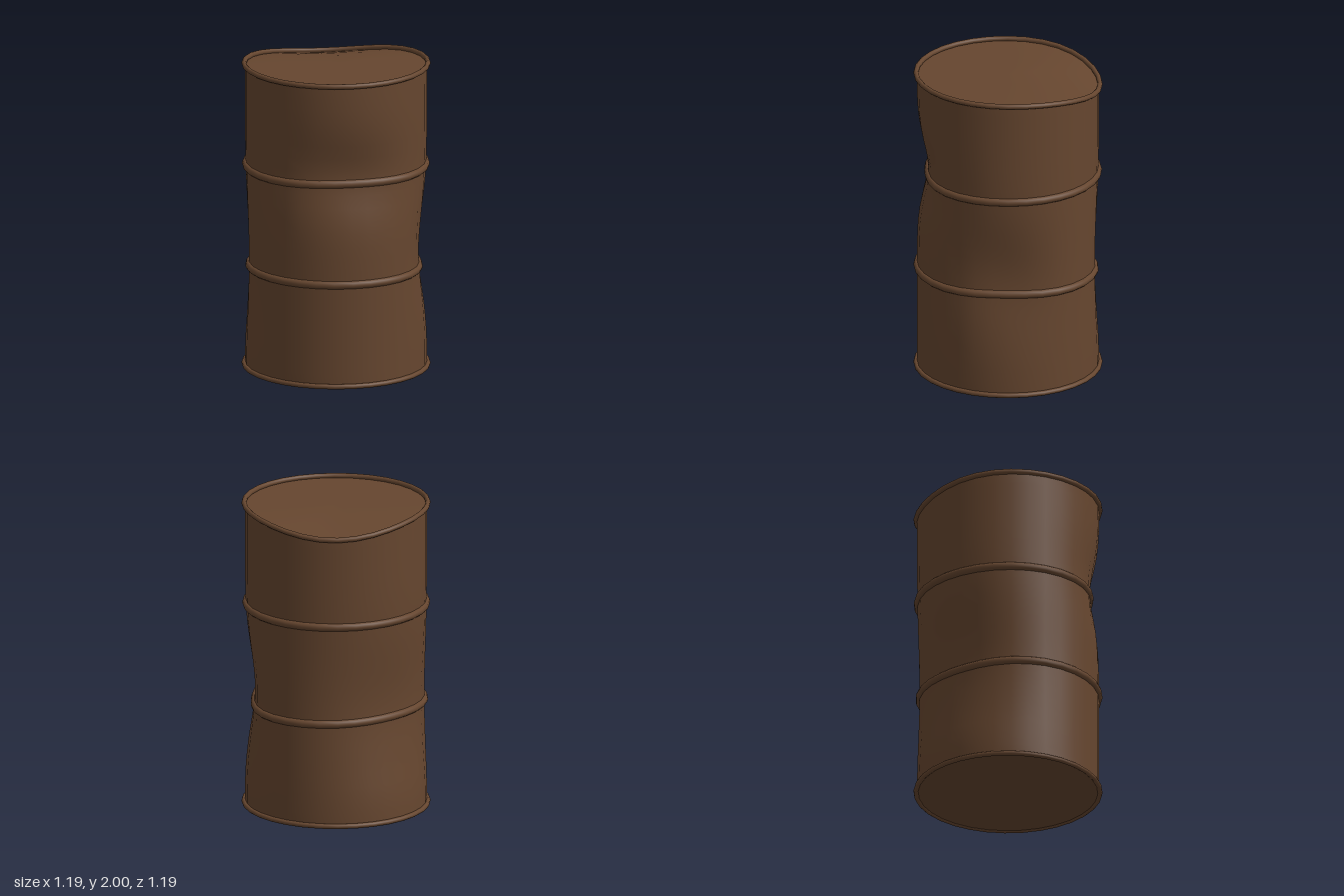
import * as THREE from 'three';
import { mergeVertices } from 'three/addons/utils/BufferGeometryUtils.js';

const SIDES = 32;
const R = 0.575;

// Dents: azimuth from +z toward +x (degrees), height, depth and spreads
const DENTS = [
  { az: -40, y: 1.36, depth: 0.07, spread: 27, tall: 0.17 },
  { az: 180, y: 0.72, depth: 0.068, spread: 30, tall: 0.3 },
  { az: 48, y: 0.78, depth: 0.065, spread: 21, tall: 0.24 },
];
const RIM_DIP = { az: 138, depth: 0.08, spread: 32 };

function bell(az, centre, spread) {
  const d = ((az - centre + 540) % 360 + 360) % 360 - 180;
  return Math.exp(-0.5 * (d / spread) ** 2);
}

// Push the walls inward at the dents and bend the top edge down
function batter(geometry) {
  const p = geometry.attributes.position;
  for (let i = 0; i < p.count; i++) {
    const x = p.getX(i), y = p.getY(i), z = p.getZ(i);
    const r = Math.hypot(x, z);
    if (r < 1e-5) continue;
    const az = THREE.MathUtils.radToDeg(Math.atan2(x, z));
    const reach = Math.min(1, (r / R) ** 2);
    let push = 0;
    for (const d of DENTS) {
      const v = Math.exp(-0.5 * ((y - d.y) / d.tall) ** 2);
      push += d.depth * bell(az, d.az, d.spread) * v;
    }
    // Ends are stiff and stay round
    push *= THREE.MathUtils.smoothstep(y, 0, 0.35) * (1 - THREE.MathUtils.smoothstep(y, 1.7, 1.95));
    const k = (r - push * reach) / r;
    const dip = RIM_DIP.depth * bell(az, RIM_DIP.az, RIM_DIP.spread) * reach
      * THREE.MathUtils.smoothstep(y, 1.5, 1.96);
    p.setXYZ(i, x * k, y - dip, z * k);
  }
}

function part(name, profile, material) {
  let g = new THREE.LatheGeometry(profile.map(([r, y]) => new THREE.Vector2(r, y)), SIDES, Math.PI / SIDES);
  batter(g);
  // Weld the seam so that the shading is smooth all round
  g.deleteAttribute('uv');
  g.deleteAttribute('normal');
  g = mergeVertices(g, 1e-5);
  g.computeVertexNormals();
  const mesh = new THREE.Mesh(g, material);
  mesh.name = name;
  return mesh;
}

// Round bead running around the drum
function ring(radius, y, halfWidth, halfHeight) {
  const points = [];
  for (let i = 0; i <= 10; i++) {
    const a = (i / 10) * Math.PI * 2 + Math.PI;
    points.push([radius + Math.cos(a) * halfWidth, y + Math.sin(a) * halfHeight]);
  }
  return points;
}

export function createModel() {
  const group = new THREE.Group();
  group.name = 'drum';
  const rust = new THREE.MeshStandardMaterial({ color: 0x66462f });
  rust.name = 'rusty brown';

  // Side wall
  const wall = [];
  for (let i = 0; i <= 24; i++) wall.push([R, 0.01 + (1.975 * i) / 24]);
  group.add(part('wall', wall, rust));

  // Rolling hoops
  group.add(part('lowerHoop', ring(0.574, 0.68, 0.024, 0.026), rust));
  group.add(part('upperHoop', ring(0.574, 1.325, 0.024, 0.026), rust));

  // Rims
  group.add(part('bottomRim', ring(0.582, 0.016, 0.016, 0.016), rust));
  group.add(part('topRim', ring(0.582, 1.983, 0.016, 0.017), rust));

  // Recessed lid and base
  const radii = [0.575, 0.5, 0.4, 0.27, 0.13, 0];
  group.add(part('lid', radii.map((r) => [r, 1.972]), rust));
  group.add(part('base', [[0, 0.01], [0.3, 0.01], [R, 0.01]], rust));

  return group;
}
